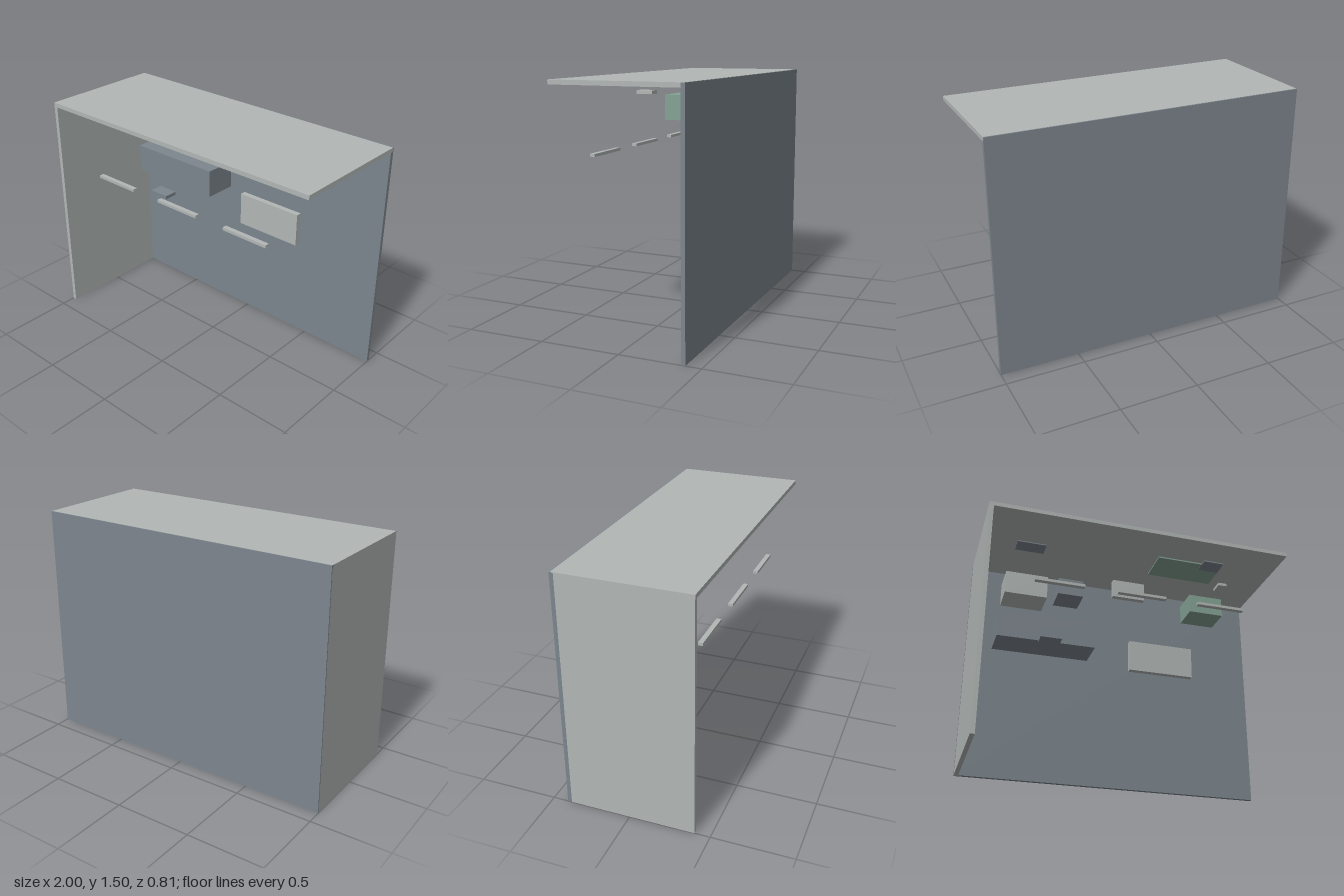
import * as THREE from 'three';

const makeMaterial = (name, color) => {
  const m = new THREE.MeshStandardMaterial({ color });
  m.name = name;
  return m;
};

export function createModel() {
  const pale = makeMaterial('paleGrey', 0xb2b8b6);
  const slate = makeMaterial('slateGrey', 0x7d868e);
  const green = makeMaterial('sageGreen', 0x85a394);

  const model = new THREE.Group();
  model.name = 'openRoom';

  // Box given by its extents along x, y and z
  const box = (name, material, [x0, x1], [y0, y1], [z0, z1]) => {
    const mesh = new THREE.Mesh(new THREE.BoxGeometry(x1 - x0, y1 - y0, z1 - z0), material);
    mesh.position.set((x0 + x1) / 2, (y0 + y1) / 2, (z0 + z1) / 2);
    mesh.name = name;
    model.add(mesh);
  };

  // Room shell: back wall, one side wall and the ceiling
  box('backWall', slate, [-1, 1], [0, 1.499], [-0.405, -0.38]);
  box('sideWall', pale, [-1, -0.973], [0, 1.473], [-0.398, 0.405]);
  box('ceiling', pale, [-1, 1], [1.473, 1.5], [-0.398, 0.405]);

  // Upper row of units along the back wall
  box('paleCabinet', pale, [-0.795, -0.51], [1.22, 1.38], [-0.38, -0.18]);
  box('slateCabinet', slate, [-0.43, -0.255], [1.28, 1.4], [-0.38, -0.2]);
  box('upperPanel', pale, [-0.065, 0.16], [1.275, 1.403], [-0.155, -0.12]);
  box('greenCabinet', green, [0.525, 0.77], [1.285, 1.42], [-0.38, -0.187]);
  box('smallBlock', pale, [0.67, 0.73], [1.417, 1.437], [-0.09, 0.005]);

  // Lower units
  box('wideCabinet', slate, [-0.83, -0.175], [0.885, 1.07], [-0.38, -0.163]);
  box('lowerPanel', pale, [0.075, 0.52], [0.77, 0.983], [-0.223, -0.187]);
  box('smallTray', slate, [-0.57, -0.43], [0.84, 0.863], [-0.1, -0.01]);

  // Three hanging bars near the front
  for (const x of [-0.527, 0, 0.527]) {
    box('hangingBar', pale, [x - 0.157, x + 0.157], [1.042, 1.06], [0.305, 0.335]);
  }

  // Thin plates just below the ceiling
  box('greenPlate', green, [0.17, 0.62], [1.453, 1.462], [-0.06, 0.17]);
  box('slatePlateLeft', slate, [-0.77, -0.58], [1.45, 1.457], [-0.01, 0.095]);
  box('slatePlateRight', slate, [0.48, 0.618], [1.452, 1.461], [0.1, 0.215]);

  return model;
}
